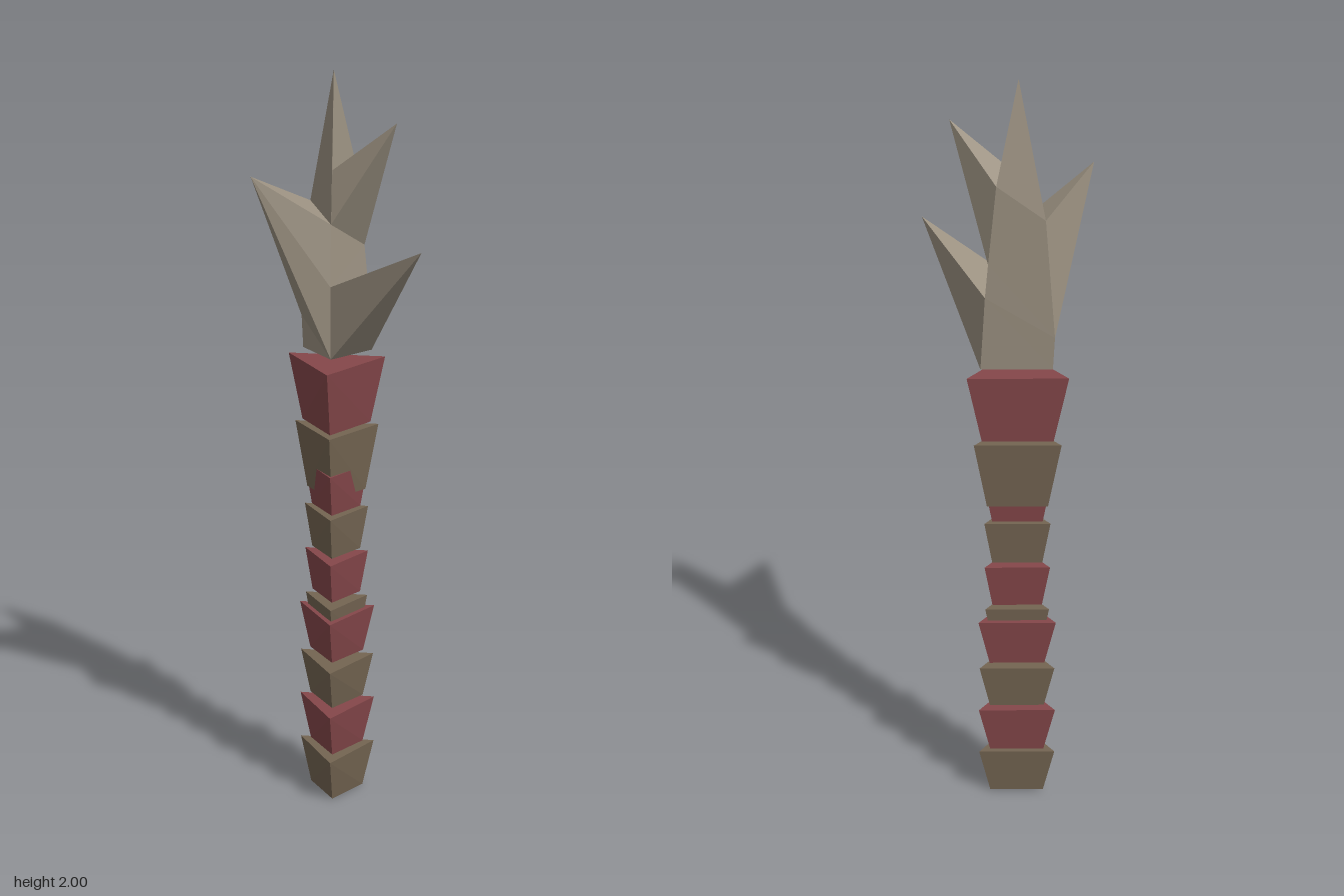
import * as THREE from 'three';
import { ConvexGeometry } from 'three/addons/geometries/ConvexGeometry.js';

const material = (name, color) => {
  const m = new THREE.MeshStandardMaterial({ color });
  m.name = name;
  return m;
};

const SPINE_X = -0.027; // front ridge of the three-sided trunk

// Triangular cross-section: flat at the back, ridge at the front
const section = (y, halfWidth, front, back) => [
  new THREE.Vector3(SPINE_X - halfWidth, y, back),
  new THREE.Vector3(SPINE_X + halfWidth, y, back),
  new THREE.Vector3(SPINE_X, y, front),
];

// Crown corners, named by place
const P = {
  baseL: [-0.113, 1.285, -0.105], baseR: [0.065, 1.285, -0.105], baseF: [SPINE_X, 1.285, -0.005],
  sideL: [-0.117, 1.37, -0.107], sideR: [0.053, 1.475, -0.108], lowF: [SPINE_X, 1.475, 0],
  midL: [-0.092, 1.67, -0.105], midR: [0.045, 1.56, -0.107], midF: [SPINE_X, 1.63, -0.015],
  topF: [SPINE_X, 1.76, -0.04], topB: [0.025, 1.755, -0.107],
  tipLowR: [0.21, 1.6, 0.12], tipL: [-0.212, 1.76, 0.062],
  tipR: [0.135, 1.885, -0.003], tipTop: [SPINE_X, 2, -0.068],
};

const CROWN_FACES = [
  // left front and left spike
  'baseF lowF tipL', 'baseF tipL sideL', 'baseF sideL baseL',
  'lowF midF tipL', 'midF midL tipL', 'sideL tipL midL',
  // low right spike
  'baseF tipLowR lowF', 'baseF baseR tipLowR', 'baseR sideR tipLowR', 'lowF tipLowR sideR',
  // right side and upper right spike
  'lowF sideR midR', 'lowF midR midF',
  'midF midR tipR', 'midR topB tipR', 'topF tipR topB', 'midF tipR topF',
  // top spike
  'midF topF tipTop', 'midF tipTop midL', 'topF topB tipTop',
  // back and underside
  'tipTop topB midL', 'midL topB midR', 'midL midR sideL', 'sideL midR sideR',
  'sideL sideR baseL', 'baseL sideR baseR', 'baseL baseR baseF',
];

function crownGeometry() {
  const positions = CROWN_FACES.flatMap((face) => face.split(' ').flatMap((key) => P[key]));
  const g = new THREE.BufferGeometry();
  g.setAttribute('position', new THREE.Float32BufferAttribute(positions, 3));
  g.computeVertexNormals();
  return g;
}

export function createModel() {
  const brown = material('brown bark', 0x746552);
  const red = material('red bark', 0x85474a);
  const grey = material('grey leaf', 0x9a9080);
  const model = new THREE.Group();
  model.name = 'palmTree';

  // Trunk pieces: bottom [y, half width, front z, back z], then top
  const pieces = [
    [[0, 0.073, -0.018, -0.108], [0.137, 0.103, 0.025, -0.118]],
    [[0.14, 0.073, -0.018, -0.108], [0.275, 0.103, 0.025, -0.118]],
    [[0.285, 0.073, -0.018, -0.107], [0.41, 0.1, 0.023, -0.116]],
    [[0.423, 0.073, -0.018, -0.108], [0.555, 0.102, 0.024, -0.117]],
    [[0.475, 0.063, -0.02, -0.1], [0.59, 0.084, 0.009, -0.106]],
    [[0.602, 0.065, -0.018, -0.102], [0.72, 0.085, 0.01, -0.109]],
    [[0.73, 0.065, -0.018, -0.1], [0.85, 0.085, 0.01, -0.107]],
    [[0.853, 0.065, -0.018, -0.1], [0.97, 0.085, 0.012, -0.107]],
    [[0.9, 0.078, -0.012, -0.105], [1.08, 0.11, 0.026, -0.115]],
    [[1.088, 0.09, 0.013, -0.108], [1.265, 0.126, 0.063, -0.116]],
  ];
  const trunk = new THREE.Group();
  trunk.name = 'trunk';
  pieces.forEach(([bottom, top], i) => {
    const geometry = new ConvexGeometry([...section(...bottom), ...section(...top)]);
    const piece = new THREE.Mesh(geometry, i % 2 ? red : brown);
    piece.name = `trunkPiece${i + 1}`;
    trunk.add(piece);
  });

  const crown = new THREE.Mesh(crownGeometry(), grey);
  crown.name = 'leafCrown';
  model.add(trunk, crown);
  return model;
}
